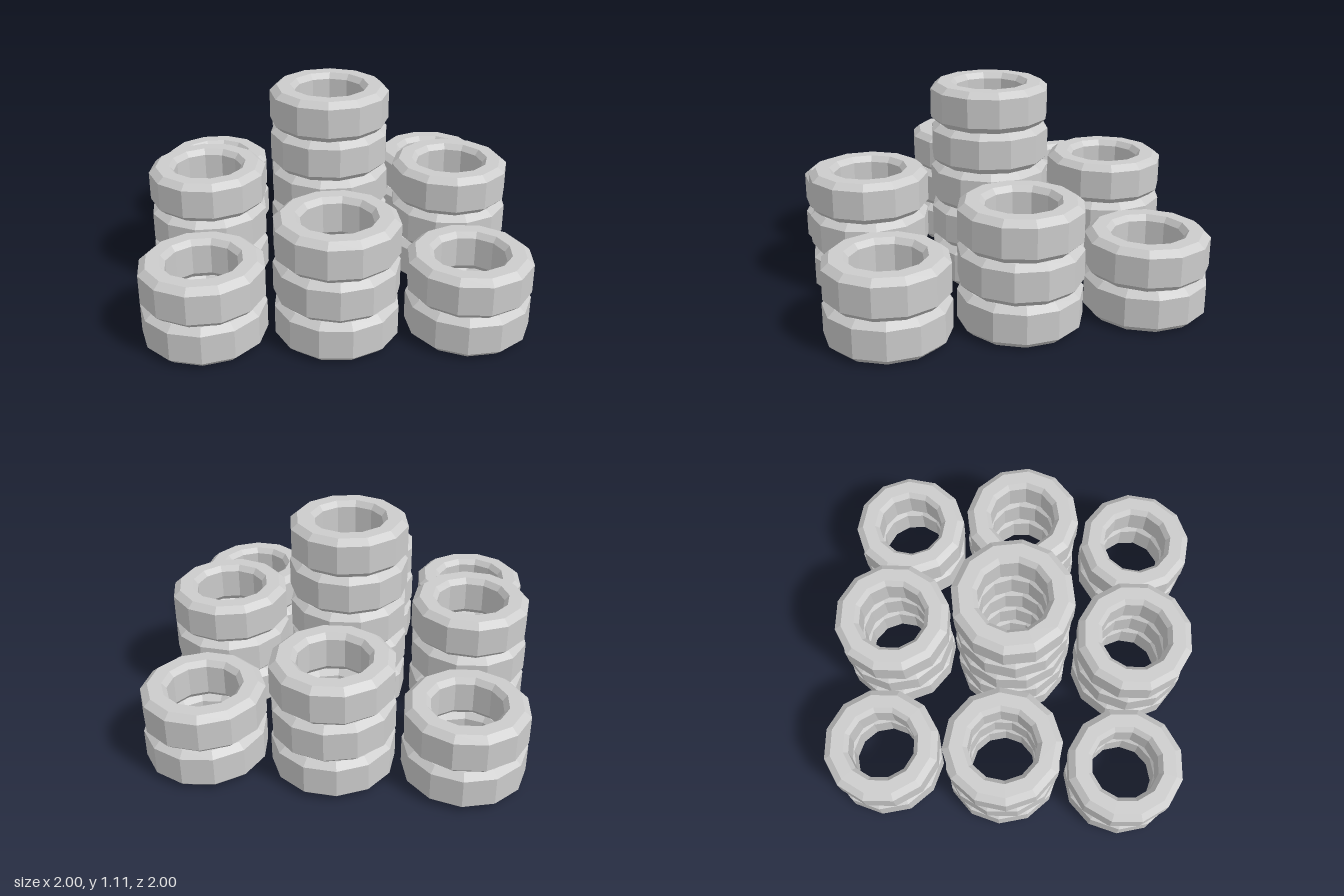
import * as THREE from 'three';

const SIDES = 12;
const HEIGHT = 0.222;
const SPACING = 0.677;

// Closed tyre cross-section: [radius, height], bevelled inside and outside
const PROFILE = [
  [0.187, 0.03], [0.212, 0], [0.285, 0], [0.323, 0.035], [0.323, 0.19],
  [0.285, HEIGHT], [0.212, HEIGHT], [0.187, 0.192], [0.187, 0.03],
];

// Tyres per stack: rows run back to front, columns run along x
const STACKS = [
  [2, 3, 2],
  [3, 5, 3],
  [2, 3, 2],
];

export function createModel() {
  const model = new THREE.Group();
  model.name = 'tyreStacks';

  const material = new THREE.MeshStandardMaterial({ color: 0xcccccc, flatShading: true });
  const tyreGeometry = new THREE.LatheGeometry(
    PROFILE.map(([r, y]) => new THREE.Vector2(r, y)), SIDES);

  STACKS.forEach((row, r) => row.forEach((count, c) => {
    const stack = new THREE.Group();
    stack.name = `tyreStack${r * 3 + c + 1}`;
    stack.position.set((c - 1) * SPACING, 0, (r - 1) * SPACING);

    // Each tyre is turned a little differently from the one below
    for (let i = 0; i < count; i++) {
      const tyre = new THREE.Mesh(tyreGeometry, material);
      tyre.name = `tyre${i + 1}`;
      tyre.position.y = i * HEIGHT;
      tyre.rotation.y = (r * 3 + c) * 0.7 + i * 1.9;
      stack.add(tyre);
    }
    model.add(stack);
  }));

  return model;
}
